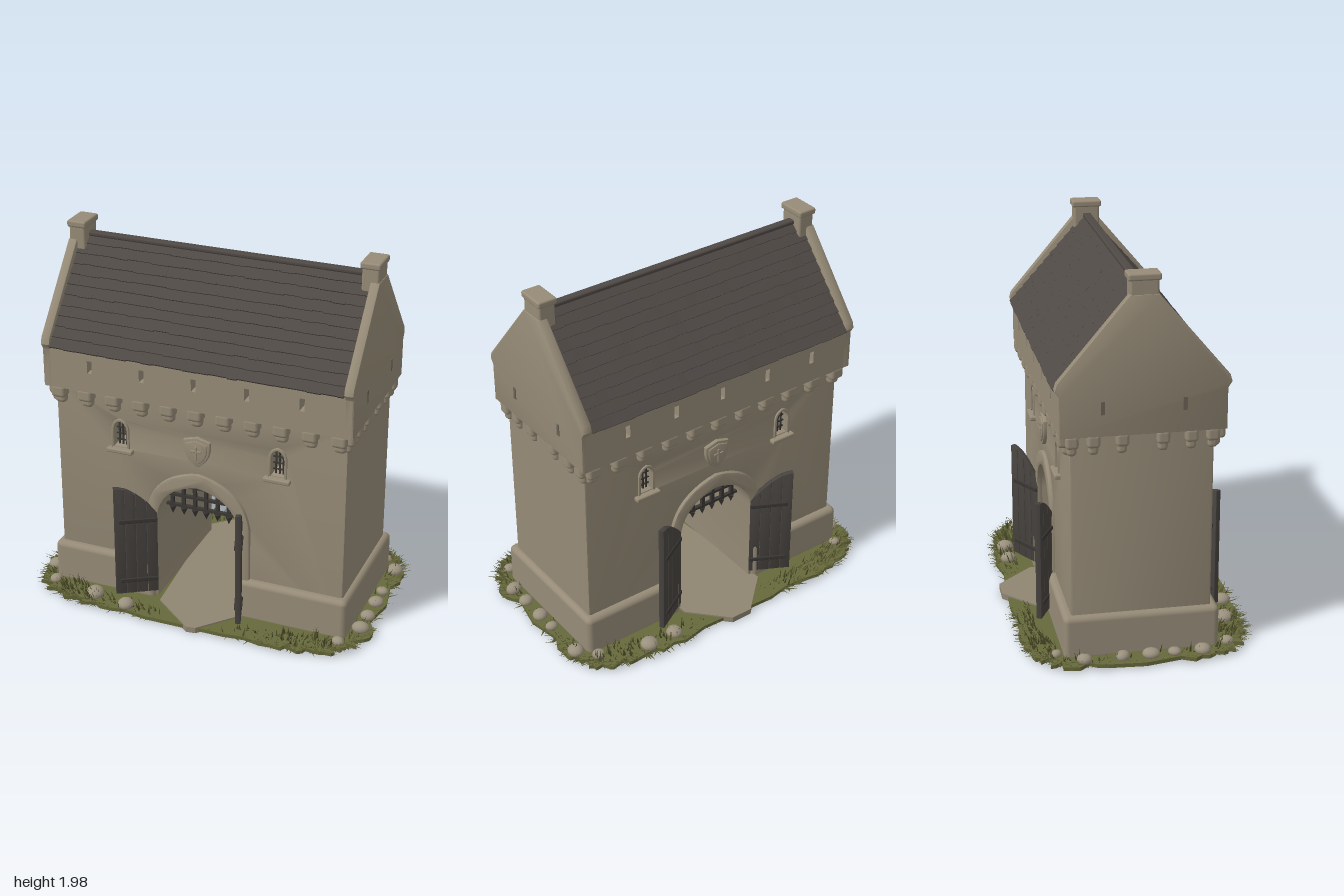
import * as THREE from 'three';
import { mergeGeometries, toCreasedNormals } from 'three/addons/utils/BufferGeometryUtils.js';
import { RoundedBoxGeometry } from 'three/addons/geometries/RoundedBoxGeometry.js';

const V = (x, y) => new THREE.Vector2(x, y);

export function createModel() {
  const model = new THREE.Group();
  model.name = 'gatehouse';
  const mat = (name, color, side = THREE.FrontSide) => {
    const m = new THREE.MeshStandardMaterial({ color, side });
    m.name = name;
    return m;
  };
  const stone = mat('stone', 0x968b77), darkStone = mat('dark stone', 0x6a6254);
  const slate = mat('slate', 0x4f4945), wood = mat('dark wood', 0x47433f), iron = mat('iron', 0x3a3734);
  const path = mat('path', 0x8f8572), rock = mat('rock', 0x9b917e), turf = mat('turf', 0x66683a);
  const blade = mat('grass blades', 0x55562e, THREE.DoubleSide);

  let seed = 7;
  const rnd = (a = 0, b = 1) => {
    seed = (seed * 16807) % 2147483647;
    return a + (b - a) * seed / 2147483647;
  };
  const add = (parent, name, geo, material, x = 0, y = 0, z = 0) => {
    const m = new THREE.Mesh(geo, material);
    m.name = name;
    m.position.set(x, y, z);
    parent.add(m);
    return m;
  };
  const block = (parent, name, w, h, d, x, y, z, r = 0.01, material = stone) =>
    add(parent, name, new RoundedBoxGeometry(w, h, d, 2, r), material, x, y, z);
  const extrude = (shape, depth, bevel = 0) => toCreasedNormals(new THREE.ExtrudeGeometry(shape, {
    depth: depth - 2 * bevel, bevelEnabled: bevel > 0, bevelSize: bevel, bevelThickness: bevel,
    bevelOffset: -bevel, bevelSegments: 2, curveSegments: 10,
  }).translate(0, 0, bevel), 0.6);
  const box = (w, h, d, x, y, z) => new THREE.BoxGeometry(w, h, d).translate(x, y, z);

  // Pointed arch outline, running from the right foot to the left foot
  const archPts = (hw, base, spring, apex) => {
    const half = new THREE.QuadraticBezierCurve(
      V(hw, spring), V(hw * 0.9, spring + (apex - spring) * 0.85), V(0, apex)).getPoints(10);
    return [V(hw, base), ...half, ...half.slice(0, -1).reverse().map(p => V(-p.x, p.y)), V(-hw, base)];
  };
  const shift = (pts, dx) => pts.map(p => V(p.x + dx, p.y));
  const band = (outer, inner) => new THREE.Shape([...outer, ...inner.reverse()]);
  const rect = (x0, y0, x1, y1) => [V(x0, y0), V(x1, y0), V(x1, y1), V(x0, y1)];

  // Lower storey pierced by the gate passage and two windows
  const gate = archPts(0.23, 0.02, 0.52, 0.73);
  const windowArch = () => archPts(0.036, 0.885, 0.98, 1.03);
  const body = new THREE.Shape([V(-0.8, 0.02), ...gate.slice().reverse(), V(0.8, 0.02), V(0.8, 1.21), V(-0.8, 1.21)]);
  for (const s of [-1, 1]) body.holes.push(new THREE.Path(shift(windowArch(), s * 0.435)));
  add(model, 'lowerWalls', extrude(body, 0.71, 0.012), stone, 0, 0, -0.355);
  for (const s of [-1, 1]) block(model, 'plinth', 0.59, 0.24, 0.79, s * 0.537, 0.125, 0, 0.03);

  // Overhanging upper storey with arrow slits
  const upper = new THREE.Shape(rect(-0.83, 1.19, 0.83, 1.43));
  for (const x of [-0.575, -0.285, 0, 0.285, 0.575])
    upper.holes.push(new THREE.Path(rect(x - 0.013, 1.3, x + 0.013, 1.368)));
  add(model, 'upperWalls', extrude(upper, 0.82), stone, 0, 0, -0.41);

  // Gable ends with kneelers, chimneys and side slits
  const side = [V(0.41, 1.19), V(0.41, 1.4), V(0.43, 1.43), V(0.42, 1.465), V(0.07, 1.88)];
  const gable = new THREE.Shape([...side, ...side.slice().reverse().map(p => V(-p.x, p.y))]);
  for (const s of [-1, 1]) {
    const g = extrude(gable, 0.05, 0.008).translate(0, 0, -0.025).rotateY(Math.PI / 2);
    add(model, 'gable', g, stone, s * 0.815);
    block(model, 'chimney', 0.09, 0.19, 0.14, s * 0.79, 1.875, 0, 0.012);
    block(model, 'chimneyCap', 0.105, 0.035, 0.16, s * 0.79, 1.963, 0, 0.01);
    for (const z of [-0.2, 0.2]) {
      add(model, 'sideSlit', box(0.004, 0.065, 0.02, 0, 0, 0), darkStone, s * 0.841, 1.335, z);
    }
    for (const z of [-0.345, -0.24, -0.1, 0.1, 0.24, 0.345]) {
      block(model, 'sideCorbel', 0.06, 0.07, 0.065, s * 0.805, 1.165, z, 0.018);
      block(model, 'sideCorbelFoot', 0.05, 0.06, 0.05, s * 0.795, 1.12, z, 0.02);
    }
  }

  // Roof core and courses of uneven slates
  const core = new THREE.Shape([V(-0.415, 1.415), V(0.415, 1.415), V(0, 1.89)]);
  add(model, 'roofCore', extrude(core, 1.59).translate(0, 0, -0.795).rotateY(Math.PI / 2), slate);
  const slates = [], rows = 11, pitch = Math.atan2(0.48, 0.42);
  for (let side2 = 0; side2 < 2; side2++) {
    for (let r = 0; r < rows; r++) {
      const t = (r + 0.5) / rows;
      let x = -0.79;
      while (x < 0.789) {
        const w = Math.min(rnd(0.045, 0.085), 0.79 - x);
        const g = new THREE.BoxGeometry(w, 0.012, 0.068 + rnd(-0.006, 0.006));
        g.rotateX(pitch - 0.13 + rnd(-0.025, 0.025));
        g.translate(x + w / 2, 1.9 - 0.48 * t, 0.425 * t);
        if (side2) g.rotateY(Math.PI);
        slates.push(g);
        x += w;
      }
    }
  }
  add(model, 'roofSlates', mergeGeometries(slates), slate);
  block(model, 'ridge', 1.58, 0.025, 0.045, 0, 1.9, 0, 0.01, slate);

  // Details shared by the front and the back
  const shieldPts = (k) => {
    const c = new THREE.QuadraticBezierCurve(V(0.073 * k, 0.035 * k), V(0.07 * k, -0.05 * k), V(0, -0.085 * k)).getPoints(8);
    return [...c.slice().reverse(), V(0.073 * k, 0.065 * k), V(0, 0.085 * k), V(-0.073 * k, 0.065 * k),
      ...c.slice(0, -1).map(p => V(-p.x, p.y))];
  };
  const makeFace = (name) => {
    const f = new THREE.Group();
    f.name = name;
    const arch = band(archPts(0.29, 0.03, 0.54, 0.81), archPts(0.228, 0.03, 0.52, 0.728));
    add(f, 'archMoulding', extrude(arch, 0.035, 0.01), stone, 0, 0, 0.34);
    add(f, 'shield', extrude(new THREE.Shape(shieldPts(1)), 0.035, 0.006), stone, 0, 0.94, 0.34);
    add(f, 'shieldBoss', extrude(new THREE.Shape(shieldPts(0.8)), 0.02, 0.005), stone, 0, 0.94, 0.362);
    block(f, 'shieldRidge', 0.012, 0.08, 0.012, 0, 0.94, 0.382, 0.004);
    block(f, 'shieldBar', 0.06, 0.012, 0.012, 0, 0.95, 0.382, 0.004);
    for (let i = -5; i <= 5; i++) {
      block(f, 'corbel', 0.08, 0.07, 0.075, i * 0.153, 1.165, 0.375, 0.018);
      block(f, 'corbelFoot', 0.065, 0.07, 0.05, i * 0.153, 1.125, 0.365, 0.022);
    }
    for (const s of [-1, 1]) {
      const frame = band(shift(archPts(0.05, 0.875, 0.985, 1.045), s * 0.435), shift(windowArch(), s * 0.435));
      add(f, 'windowFrame', extrude(frame, 0.025, 0.004), stone, 0, 0, 0.34);
      block(f, 'windowSill', 0.145, 0.025, 0.05, s * 0.435, 0.865, 0.36, 0.008);
      const bars = [];
      for (const x of [-0.02, 0, 0.02]) bars.push(box(0.008, 0.14, 0.008, x, 0.955, 0));
      for (const y of [0.91, 0.945, 0.98]) bars.push(box(0.075, 0.006, 0.008, 0, y, 0));
      add(f, 'windowGrille', mergeGeometries(bars), iron, s * 0.435, 0, 0.325);
    }
    // Raised portcullis with pointed feet
    const bars = [];
    for (let i = -3; i <= 3; i++) {
      const x = i * 0.064, top = 0.74 - Math.abs(i) * 0.035;
      bars.push(box(0.018, top - 0.52, 0.018, x, (top + 0.52) / 2, 0));
      bars.push(new THREE.ConeGeometry(0.021, 0.045, 4).rotateX(Math.PI).translate(x, 0.505, 0));
    }
    for (const y of [0.54, 0.6, 0.66]) bars.push(box(y > 0.65 ? 0.36 : 0.45, 0.014, 0.02, 0, y, 0));
    add(f, 'portcullis', mergeGeometries(bars), iron, 0, 0, 0.25);
    model.add(f);
    return f;
  };
  makeFace('frontDetails');
  makeFace('backDetails').rotation.y = Math.PI;

  // Open gate leaves: planks with iron straps, each swung from its hinge
  const makeDoor = (name, hx, hz, tx, tz) => {
    const d = new THREE.Group(), n = 4, len = Math.hypot(tx - hx, tz - hz);
    d.name = name;
    const top = (u) => 0.54 + 0.16 * Math.sin(u * Math.PI / 2);
    for (let i = 0; i < n; i++) {
      const a = i / n, b = (i + 1) / n, e = 0.001;
      const s = new THREE.Shape([V(a * len + e, 0.06), V(b * len - e, 0.06), V(b * len - e, top(b)),
        V((a + b) / 2 * len, top((a + b) / 2)), V(a * len + e, top(a))]);
      add(d, 'plank', extrude(s, 0.03, 0.003), wood, 0, 0, -0.015);
    }
    for (const y of [0.14, 0.5]) block(d, 'strap', len * 0.9, 0.025, 0.042, len * 0.45, y, 0, 0.006, iron);
    d.position.set(hx, 0, hz);
    d.rotation.y = Math.atan2(-(tz - hz), tx - hx);
    model.add(d);
  };
  makeDoor('frontRightDoor', -0.235, 0.36, -0.43, 0.48);
  makeDoor('frontLeftDoor', 0.225, 0.34, 0.285, 0.515);
  makeDoor('backLeftDoor', 0.235, -0.36, 0.43, -0.475);
  makeDoor('backRightDoor', -0.235, -0.36, -0.44, -0.465);

  // Ground: ragged turf, earth slab below and a path through the gate
  const rim = (t, k = 1) => {
    const c = Math.cos(t), s = Math.sin(t);
    return V(0.92 * k * Math.sign(c) * Math.abs(c) ** 0.4, 0.58 * k * Math.sign(s) * Math.abs(s) ** 0.4);
  };
  const flat = (pts, h) => new THREE.ExtrudeGeometry(new THREE.Shape(pts), { depth: h, bevelEnabled: false }).rotateX(-Math.PI / 2);
  const loop = (n, f) => Array.from({ length: n }, (_, i) => f(i / n * Math.PI * 2));
  add(model, 'turf', flat(loop(110, t => rim(t, rnd(0.97, 1.04))), 0.02), turf, 0, 0.008);
  add(model, 'earthSlab', flat(loop(48, t => rim(t, 0.86)), 0.012), path);
  const track = [V(-0.2, -0.42), V(0.03, -0.605), V(0.08, -0.6), V(0.24, -0.42), V(0.24, 0.42),
    V(0.06, 0.61), V(-0.06, 0.61), V(-0.26, 0.42)];
  add(model, 'path', flat(track, 0.033), path, 0, 0.003);

  // Grass blades: upright tufts near the walls, flatter ones along the rim
  const pos = [];
  for (let i = 0; i < 2200; i++) {
    const outer = i % 2 === 0;
    const t = rnd(0, Math.PI * 2), p = rim(t, outer ? rnd(0.93, 1.0) : rnd(0.82, 0.98));
    if (Math.abs(p.x) < 0.25 && Math.abs(p.x) < (0.66 - Math.abs(p.y)) * 1.2) continue;
    if (Math.abs(p.x) < 0.84 && Math.abs(p.y) < 0.41) continue;
    const a = rnd(0, Math.PI * 2), w = rnd(0.004, 0.009), l = outer ? rnd(0.03, 0.075) : rnd(0.005, 0.03);
    const h = outer ? rnd(0.003, 0.03) : rnd(0.03, 0.095) * (0.7 + 0.3 * Math.sin(t * 17));
    const out = Math.atan2(p.y, p.x * 0.63) + rnd(-0.7, 0.7);
    const wx = outer ? -Math.sin(out) * w : Math.cos(a) * w, wz = outer ? Math.cos(out) * w : Math.sin(a) * w;
    pos.push(p.x - wx, 0.02, p.y - wz, p.x + wx, 0.02, p.y + wz,
      p.x + Math.cos(out) * l, 0.02 + h, p.y + Math.sin(out) * l);
  }
  const grass = new THREE.BufferGeometry();
  grass.setAttribute('position', new THREE.Float32BufferAttribute(pos, 3));
  grass.computeVertexNormals();
  add(model, 'grass', grass, blade);

  // Boulders at the foot of the walls: x, z, radius
  const stones = [[-0.55, 0.49, 0.05], [-0.35, 0.53, 0.045], [0.38, -0.52, 0.045], [0.54, -0.52, 0.048],
    [-0.81, 0.44, 0.035], [0.81, 0.44, 0.035], [0.8, -0.43, 0.035], [-0.8, -0.43, 0.03]];
  for (const s of [-1, 1])
    for (const z of [-0.32, -0.1, 0.03, 0.15, 0.28]) stones.push([s * 0.88, z + rnd(-0.02, 0.02), rnd(0.03, 0.048)]);
  for (const [x, z, r] of stones) {
    const b = add(model, 'boulder', new THREE.SphereGeometry(r, 12, 8), rock, x, 0.04, z);
    b.scale.set(1, 0.7, rnd(0.8, 1.15));
    b.rotation.y = rnd(0, 3);
  }
  return model;
}
